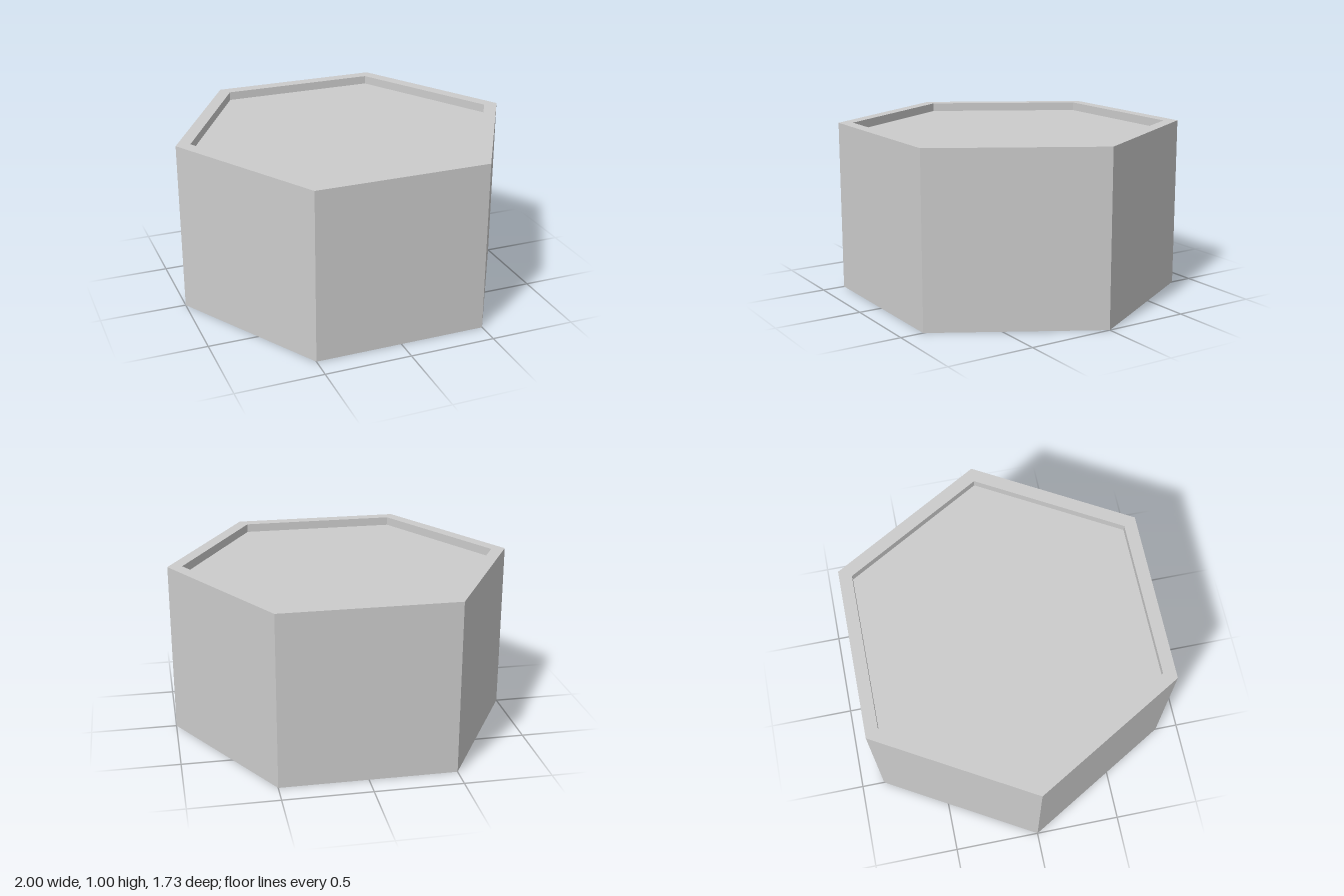
import * as THREE from 'three';

export function createModel() {
  const group = new THREE.Group();
  group.name = 'hexagonalBlock';

  const radius = 1, height = 1;
  const recessRadius = 0.916, recessFloor = 0.95;

  // Half section from the centre of the base, up the wall, over the rim, into the recess
  const profile = [
    [0, 0],
    [radius, 0],
    [radius, height],
    [recessRadius, height],
    [recessRadius, recessFloor],
    [0, recessFloor],
  ].map(([r, y]) => new THREE.Vector2(r, y));

  // Six-sided turn with corners on the x axis
  const body = new THREE.Mesh(
    new THREE.LatheGeometry(profile, 6, Math.PI / 2),
    new THREE.MeshStandardMaterial({ color: 0xcccccc, flatShading: true })
  );
  body.name = 'recessedHexBody';
  group.add(body);

  return group;
}
